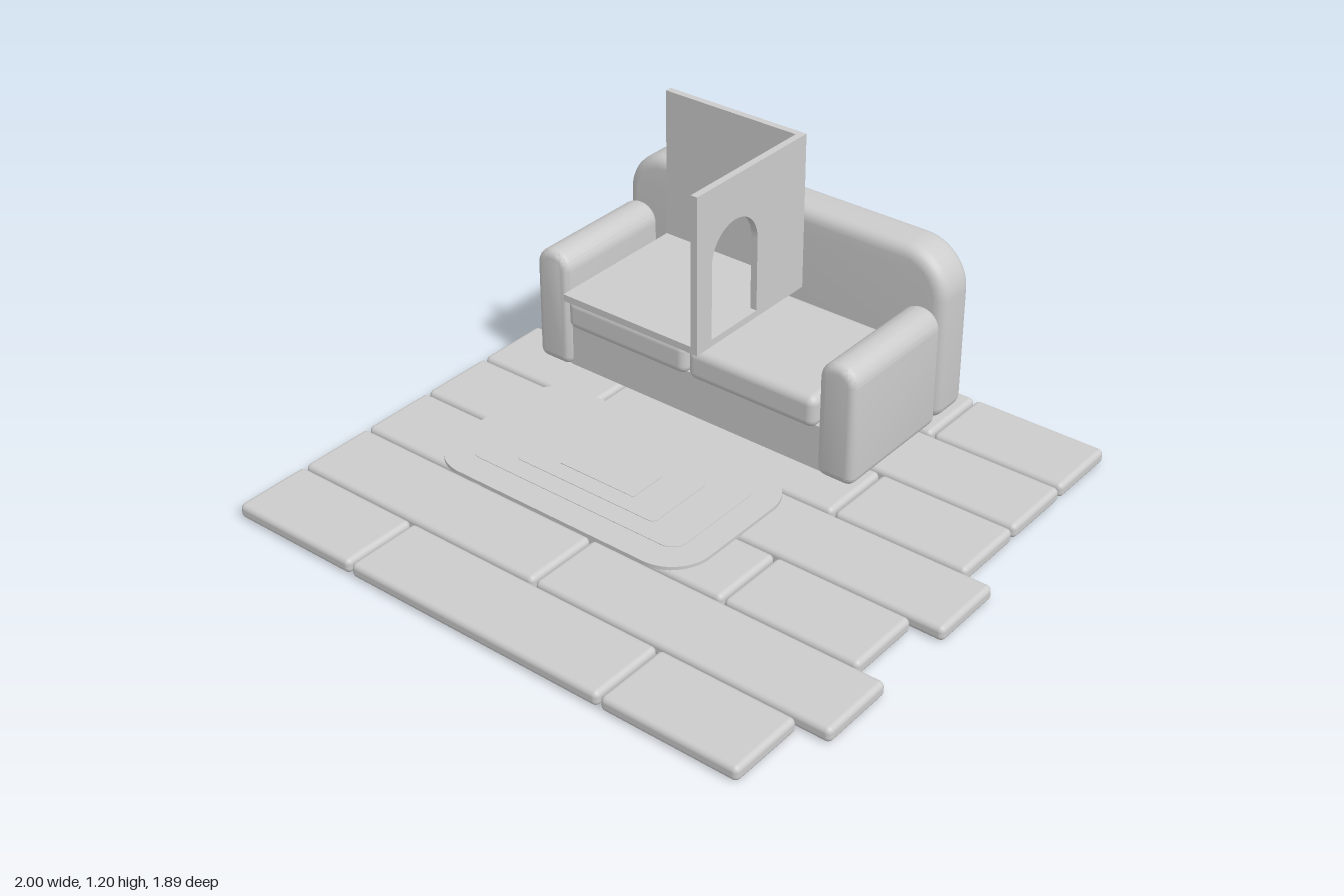
import * as THREE from 'three';
import { RoundedBoxGeometry } from 'three/addons/geometries/RoundedBoxGeometry.js';
import { toCreasedNormals } from 'three/addons/utils/BufferGeometryUtils.js';

const material = new THREE.MeshStandardMaterial({ color: 0xcccccc });

function addMesh(parent, name, geometry, x = 0, y = 0, z = 0) {
  const mesh = new THREE.Mesh(geometry, material);
  mesh.name = name;
  mesh.position.set(x, y, z);
  parent.add(mesh);
  return mesh;
}

// Box given by its limits on each axis, with optional rounded edges
function addBox(parent, name, [x0, x1], [y0, y1], [z0, z1], radius = 0) {
  const size = [x1 - x0, y1 - y0, z1 - z0];
  const geometry = radius
    ? new RoundedBoxGeometry(...size, 4, radius)
    : new THREE.BoxGeometry(...size);
  return addMesh(parent, name, geometry, (x0 + x1) / 2, (y0 + y1) / 2, (z0 + z1) / 2);
}

// Rectangle outline with separate radii for the top and bottom corners
function roundedShape(x0, x1, y0, y1, top, bottom) {
  const s = new THREE.Shape();
  s.moveTo(x0 + bottom, y0);
  s.absarc(x1 - bottom, y0 + bottom, bottom, -Math.PI / 2, 0);
  s.absarc(x1 - top, y1 - top, top, 0, Math.PI / 2);
  s.absarc(x0 + top, y1 - top, top, Math.PI / 2, Math.PI);
  s.absarc(x0 + bottom, y0 + bottom, bottom, Math.PI, Math.PI * 1.5);
  s.closePath();
  return s;
}

// Upholstered slab: large top corners, softly rolled edges front and back
function addPadded(parent, name, [x0, x1], [y0, y1], [z0, z1], top, roll) {
  const shape = roundedShape(x0 + roll, x1 - roll, y0 + roll, y1 - roll, top - roll, 0.004);
  const geometry = new THREE.ExtrudeGeometry(shape, {
    depth: z1 - z0 - 2 * roll,
    bevelThickness: roll,
    bevelSize: roll,
    bevelSegments: 5,
    curveSegments: 12,
  });
  return addMesh(parent, name, toCreasedNormals(geometry, 0.7), 0, 0, z0 + roll);
}

function createFloor() {
  const floor = new THREE.Group();
  floor.name = 'plankFloor';
  const pitch = 0.2715, gap = 0.004;
  for (let row = 0; row < 7; row++) {
    const z0 = -0.952 + row * pitch;
    // Staggered joints; two rows run longer on the left
    const joints = row % 2 === 0
      ? [-1, -0.525, 0.427, 0.9]
      : [-1, -0.05, row === 1 ? 0.9 : 1];
    for (let i = 0; i < joints.length - 1; i++) {
      const first = i === 0, last = i === joints.length - 2;
      const xs = [joints[i] + (first ? 0 : gap), joints[i + 1] - (last ? 0 : gap)];
      addBox(floor, 'plank', xs, [0, 0.05], [z0 + gap, z0 + pitch - gap], 0.018);
    }
  }
  return floor;
}

function createSofa() {
  const sofa = new THREE.Group();
  sofa.name = 'sofa';
  addPadded(sofa, 'backrest', [-0.865, 0.408], [0.052, 0.646], [-0.893, -0.737], 0.16, 0.04);
  addPadded(sofa, 'rightArm', [-0.865, -0.728], [0.052, 0.468], [-0.735, -0.265], 0.066, 0.028);
  addPadded(sofa, 'leftArm', [0.271, 0.408], [0.052, 0.468], [-0.735, -0.265], 0.066, 0.028);
  addBox(sofa, 'seatBase', [-0.74, 0.283], [0.055, 0.215], [-0.76, -0.285]);
  for (const x of [-0.726, -0.226]) {
    addBox(sofa, 'seatCushion', [x, x + 0.494], [0.212, 0.325], [-0.737, -0.253], 0.03);
  }
  return sofa;
}

function createRug() {
  const rug = new THREE.Group();
  rug.name = 'rug';
  // Half width, half depth and corner radius, from the border inwards
  const layers = [[0.508, 0.294, 0.14], [0.417, 0.2, 0.055], [0.278, 0.131, 0.02], [0.148, 0.069, 0.004]];
  layers.forEach(([w, d, r], i) => {
    const geometry = new THREE.ExtrudeGeometry(roundedShape(-w, w, -d, d, r, r), {
      depth: 0.012 + i * 0.002,
      bevelEnabled: false,
      curveSegments: 12,
    });
    geometry.rotateX(-Math.PI / 2);
    addMesh(rug, 'rugLayer', toCreasedNormals(geometry, 0.6), -0.222, 0.049, 0.123);
  });
  return rug;
}

function createRoomCorner() {
  const room = new THREE.Group();
  room.name = 'roomCorner';
  const t = 0.022;
  addBox(room, 'roomFloor', [-0.288, 0.208 - t], [0.697, 0.719], [-0.26, 0.24]);
  addBox(room, 'backWall', [-0.288, 0.208 - t], [0.719, 1.197], [-0.26, -0.26 + t]);

  // Side wall drawn in (-z, y), then turned to face +x
  const wall = new THREE.Shape([[-0.24, 0.697], [0.26, 0.697], [0.26, 1.197], [-0.24, 1.197]]
    .map(([x, y]) => new THREE.Vector2(x, y)));
  const door = new THREE.Path();
  door.moveTo(-0.173, 0.719);
  door.lineTo(0.036, 0.719);
  door.absarc(-0.0685, 0.955, 0.1045, 0, Math.PI);
  door.closePath();
  wall.holes.push(door);
  const geometry = new THREE.ExtrudeGeometry(wall, { depth: t, bevelEnabled: false, curveSegments: 24 });
  geometry.rotateY(Math.PI / 2);
  addMesh(room, 'archedDoorWall', toCreasedNormals(geometry, 0.6), 0.208 - t, 0, 0);
  return room;
}

export function createModel() {
  const model = new THREE.Group();
  model.name = 'livingRoom';
  model.add(createFloor(), createSofa(), createRug(), createRoomCorner());
  return model;
}
